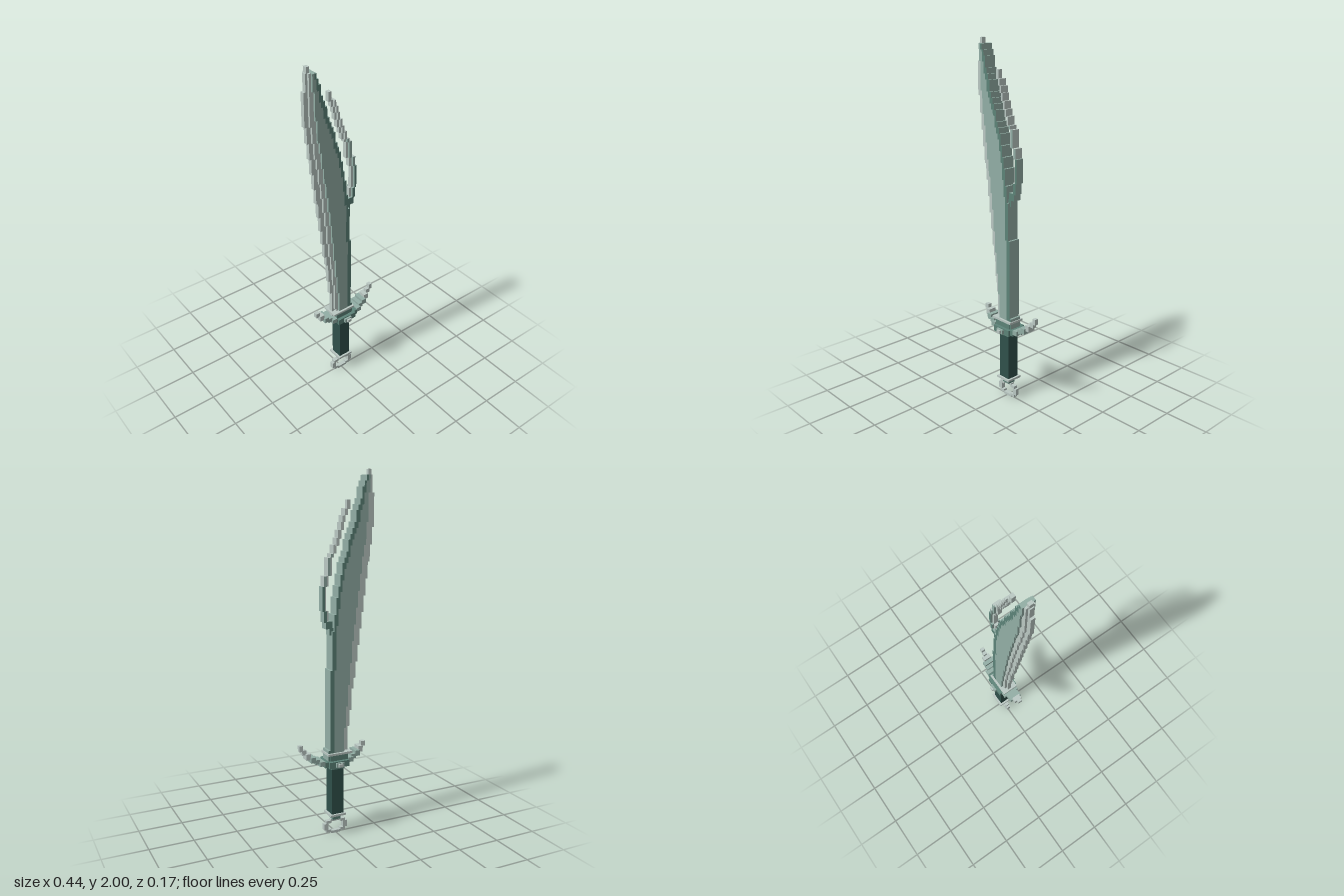
import * as THREE from 'three';

export function createModel() {
  const group = new THREE.Group();
  group.name = 'steppedSword';
  const paint = (name, color) => {
    const m = new THREE.MeshStandardMaterial({ color });
    m.name = name;
    return m;
  };
  const light = paint('paleSteel', 0xbac8c3);
  const mid = paint('greenSteel', 0x92aea5);
  const dark = paint('darkSteel', 0x5c8378);
  const leather = paint('darkGrip', 0x2f504a);
  // box sides: +x, -x, +y, -y, +z, -z
  const darkFaced = [mid, mid, mid, mid, dark, dark];

  // Box from x and y limits with half depth d
  function block(name, x0, x1, y0, y1, d, material, z = 0) {
    const mesh = new THREE.Mesh(new THREE.BoxGeometry(x1 - x0, y1 - y0, d * 2), material);
    mesh.position.set((x0 + x1) / 2, (y0 + y1) / 2, z);
    mesh.name = name;
    group.add(mesh);
  }

  // Blade outline: height, cutting edge, start of body, start of spine, back
  const outline = [
    [0.44, -0.070, -0.033, 0.022, 0.053],
    [0.58, -0.073, -0.035, 0.020, 0.052],
    [0.79, -0.095, -0.058, 0.020, 0.048],
    [0.93, -0.115, -0.070, 0.018, 0.042],
    [1.07, -0.133, -0.085, 0.014, 0.037],
    [1.20, -0.150, -0.100, 0.004, 0.026],
    [1.37, -0.172, -0.122, -0.018, 0.002],
    [1.46, -0.184, -0.135, -0.036, -0.016],
    [1.55, -0.198, -0.148, -0.060, -0.038],
    [1.64, -0.210, -0.161, -0.090, -0.068],
    [1.73, -0.219, -0.171, -0.119, -0.099],
    [1.83, -0.222, -0.179, -0.146, -0.126],
    [1.90, -0.212, -0.182, -0.163, -0.146],
    [1.97, -0.205, -0.187, -0.178, -0.162],
  ];
  const unit = 0.0117;
  const snap = (v) => Math.round(v / unit) * unit;
  function widthsAt(y) {
    let i = 0;
    while (i < outline.length - 2 && y > outline[i + 1][0]) i++;
    const a = outline[i], b = outline[i + 1];
    const t = (y - a[0]) / (b[0] - a[0]);
    return [1, 2, 3, 4].map((k) => a[k] + (b[k] - a[k]) * t);
  }
  // Each lengthwise strip is a staircase; equal rows join into one block
  function strip(name, limits, depth, material) {
    const y0 = 0.44, y1 = 1.97, rows = 51, h = (y1 - y0) / rows;
    let start = 0, last = null;
    for (let r = 0; r <= rows; r++) {
      const now = r < rows ? limits(widthsAt(y0 + (r + 0.5) * h)).map(snap) : null;
      if (last && (!now || now[0] !== last[0] || now[1] !== last[1])) {
        if (last[1] > last[0]) block(name, last[0], last[1], y0 + start * h, y0 + r * h, depth, material);
        start = r;
      }
      last = now;
    }
  }
  strip('cuttingEdge', (w) => [w[0], (w[0] + w[1]) / 2], 0.0117, light);
  strip('bevel', (w) => [(w[0] + w[1]) / 2, w[1]], 0.024, light);
  strip('bladeBody', (w) => [w[1], w[2]], 0.035, mid);
  strip('spine', (w) => [w[2], w[3]], 0.035, darkFaced);
  block('bladeTip', -0.205, -0.187, 1.94, 2.0, 0.0117, light);

  // Curved prong beside the blade: bottom, top, left, right
  const prong = [
    [1.105, 1.145, 0.008, 0.032], [1.14, 1.18, 0.018, 0.046],
    [1.175, 1.215, 0.030, 0.068], [1.21, 1.27, 0.046, 0.077],
    [1.27, 1.40, 0.060, 0.086], [1.40, 1.455, 0.046, 0.077],
    [1.455, 1.55, 0.025, 0.055], [1.55, 1.57, 0.013, 0.038],
    [1.57, 1.615, -0.002, 0.022], [1.61, 1.65, -0.017, 0.006],
    [1.645, 1.69, -0.030, -0.005], [1.69, 1.73, -0.045, -0.020],
    [1.73, 1.765, -0.053, -0.030], [1.765, 1.80, -0.066, -0.043],
  ];
  for (const [y0, y1, x0, x1] of prong) {
    const m = (x0 + x1) / 2;
    if (y0 < 1.2) block('prongRoot', x0, x1, y0, y1, 0.023, darkFaced);
    else {
      block('prongInner', x0, m, y0, y1, 0.0117, light);
      block('prongOuter', m, x1, y0, y1, 0.023, y0 < 1.39 ? darkFaced : y0 < 1.56 ? [light, mid, light, mid, mid, mid] : light);
    }
  }
  block('prongTip', -0.081, -0.062, 1.795, 1.845, 0.0117, light);

  // Guard: collar, stepped core and upswept arms
  block('guardCollar', -0.081, 0.064, 0.472, 0.484, 0.047, light);
  block('guardNeck', -0.056, 0.048, 0.43, 0.472, 0.042, dark);
  block('guardCore', -0.056, 0.064, 0.405, 0.44, 0.06, dark);
  block('guardBase', -0.036, 0.042, 0.39, 0.405, 0.042, dark);
  block('guardBoss', -0.02, 0.027, 0.41, 0.435, 0.072, mid);
  block('guardStud', -0.007, 0.016, 0.413, 0.431, 0.083, light);
  const arm = [
    [0.04, 0.085, 0.41, 0.44, 0.047, dark],
    [0.085, 0.115, 0.422, 0.448, 0.047, mid],
    [0.11, 0.138, 0.434, 0.460, 0.035, mid],
    [0.134, 0.162, 0.445, 0.476, 0.035, mid],
    [0.158, 0.186, 0.462, 0.496, 0.023, light],
    [0.182, 0.206, 0.49, 0.518, 0.0117, light],
    [0.202, 0.222, 0.512, 0.545, 0.0117, light],
  ];
  for (const [a, b, y0, y1, d, m] of arm) {
    block('leftGuardArm', a, b, y0, y1, d, m);
  }
  // The other arm is shorter
  for (const [a, b, y0, y1, d, m] of arm.slice(0, 6)) {
    block('rightGuardArm', 0.01 - b + 0.016, 0.01 - a + 0.016, y0, y1, d, m);
  }

  // Grip and pommel
  block('grip', -0.032, 0.038, 0.12, 0.395, 0.035, leather);
  block('gripCollar', -0.044, 0.05, 0.112, 0.124, 0.047, light);
  block('pommelNeck', -0.021, 0.027, 0.085, 0.112, 0.023, dark);

  // Stepped ring, mirrored about its centre line
  const cx = 0.003;
  block('ringTop', cx - 0.03, cx + 0.03, 0.072, 0.086, 0.0117, light);
  block('ringBottom', cx - 0.03, cx + 0.03, 0, 0.014, 0.0117, light);
  for (const s of [-1, 1]) {
    const piece = (a, b, y0, y1) =>
      block('ringSide', cx + Math.min(s * a, s * b), cx + Math.max(s * a, s * b), y0, y1, 0.0117, light);
    piece(0.028, 0.058, 0.062, 0.078);
    piece(0.046, 0.071, 0.024, 0.062);
    piece(0.028, 0.058, 0.008, 0.024);
  }
  return group;
}
